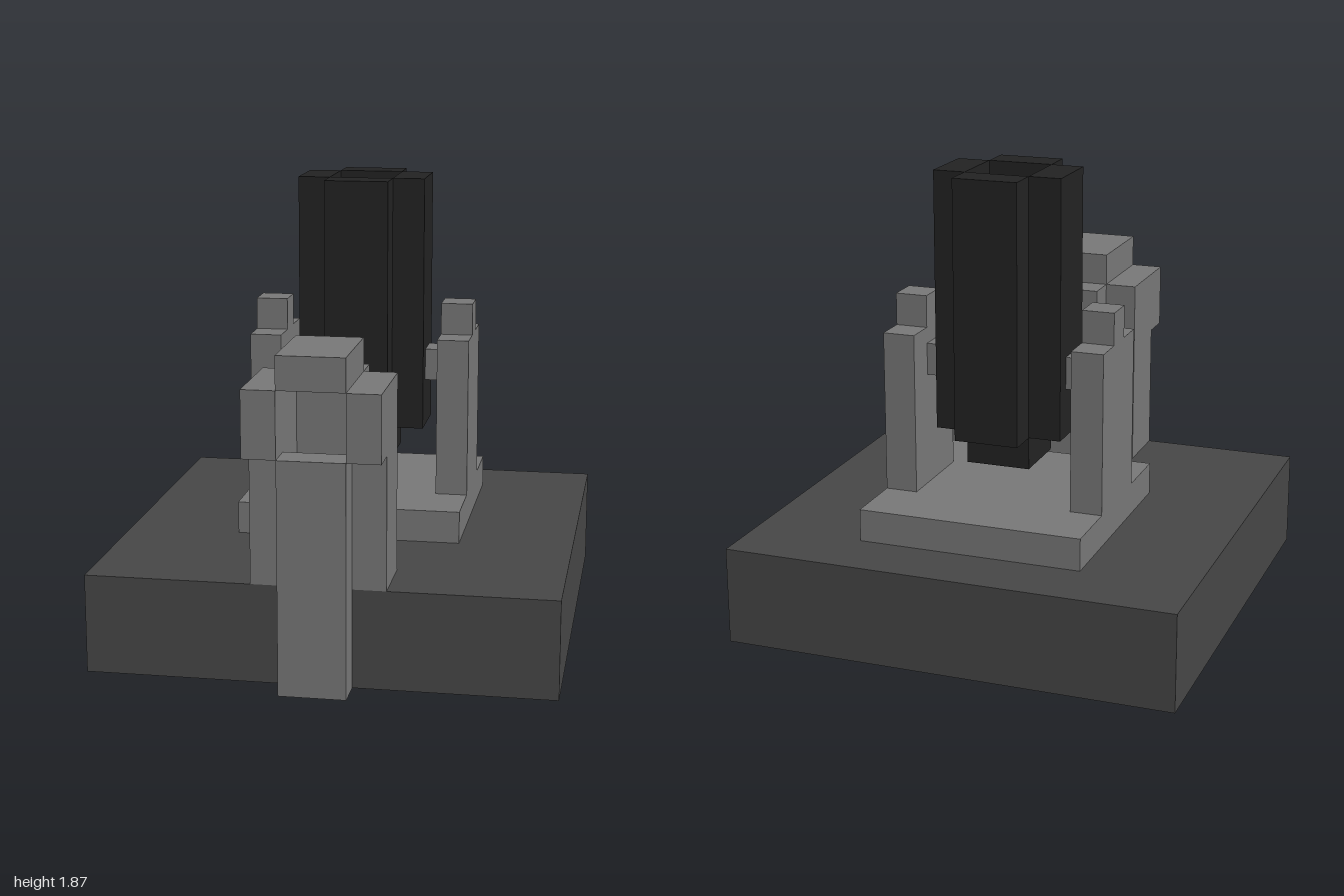
import * as THREE from 'three';

const U = 2 / 15; // block size

export function createModel() {
  const model = new THREE.Group();
  model.name = 'mountedLauncher';
  const stone = new THREE.MeshStandardMaterial({ color: 0x777777 });
  stone.name = 'midGrey';
  const slab = new THREE.MeshStandardMaterial({ color: 0x464646 });
  slab.name = 'darkGrey';
  const iron = new THREE.MeshStandardMaterial({ color: 0x222222 });
  iron.name = 'black';

  // Box given by its extents in block units
  function box(name, mat, x0, x1, y0, y1, z0, z1, parent = model) {
    const geo = new THREE.BoxGeometry((x1 - x0) * U, (y1 - y0) * U, (z1 - z0) * U);
    const mesh = new THREE.Mesh(geo, mat);
    mesh.name = name;
    mesh.position.set((x0 + x1) * U / 2, (y0 + y1) * U / 2, (z0 + z1) * U / 2);
    parent.add(mesh);
    return mesh;
  }

  // Side profile of [z, y] block points, extruded along x from x0 to x1
  function profile(name, mat, points, x0, x1, parent = model) {
    const shape = new THREE.Shape(points.map(([z, y]) => new THREE.Vector2(-z * U, y * U)));
    const geo = new THREE.ExtrudeGeometry(shape, { depth: (x1 - x0) * U, bevelEnabled: false });
    geo.rotateY(Math.PI / 2);
    geo.translate(x0 * U, 0, 0);
    const mesh = new THREE.Mesh(geo, mat);
    mesh.name = name;
    parent.add(mesh);
    return mesh;
  }

  // Ground slab and mounting plate
  box('base', slab, -7, 7, 0, 3, -7.5, 6.5);
  box('mountPlate', stone, -3.5, 3.5, 3, 4, -5.5, 1.5);

  // Stepped brackets with pivot pins on both sides
  const bracketPoints = [
    [-0.5, 4], [-0.5, 9], [-1.5, 9], [-1.5, 10],
    [-2.5, 10], [-2.5, 9], [-3.5, 9], [-3.5, 4],
  ];
  for (const [side, x] of [['left', 2.5], ['right', -3.5]]) {
    profile(side + 'Bracket', stone, bracketPoints, x, x + 1);
    const pinX = side === 'left' ? 2 : -2.5;
    box(side + 'Pin', stone, pinX, pinX + 0.5, 7.5, 8.5, -2.5, -1.5);
  }

  // Hollow barrel: four walls around an open bore, closed by a breech plug
  const barrel = new THREE.Group();
  barrel.name = 'barrel';
  model.add(barrel);
  box('barrelFront', iron, -1, 1, 6, 14, -1, 0, barrel);
  box('barrelBack', iron, -1, 1, 6, 14, -4, -3, barrel);
  box('barrelLeft', iron, 1, 2, 6, 14, -3, -1, barrel);
  box('barrelRight', iron, -2, -1, 6, 14, -3, -1, barrel);
  box('breechPlug', iron, -1, 1, 5, 6, -3, -1, barrel);

  // Hollow booth at the front edge
  const booth = new THREE.Group();
  booth.name = 'booth';
  model.add(booth);
  box('boothFrontPost', stone, -1, 1, 0, 7, 6.5, 7.5, booth);
  box('boothBack', stone, -1, 1, 3, 9, 3.5, 4.5, booth);
  box('boothRoof', stone, -1, 1, 9, 10, 4.5, 7.5, booth);
  const sidePoints = [[4.5, 3], [6.5, 3], [6.5, 7], [7.5, 7], [7.5, 9], [4.5, 9]];
  profile('boothLeftSide', stone, sidePoints, 1, 2, booth);
  profile('boothRightSide', stone, sidePoints, -2, -1, booth);

  return model;
}
